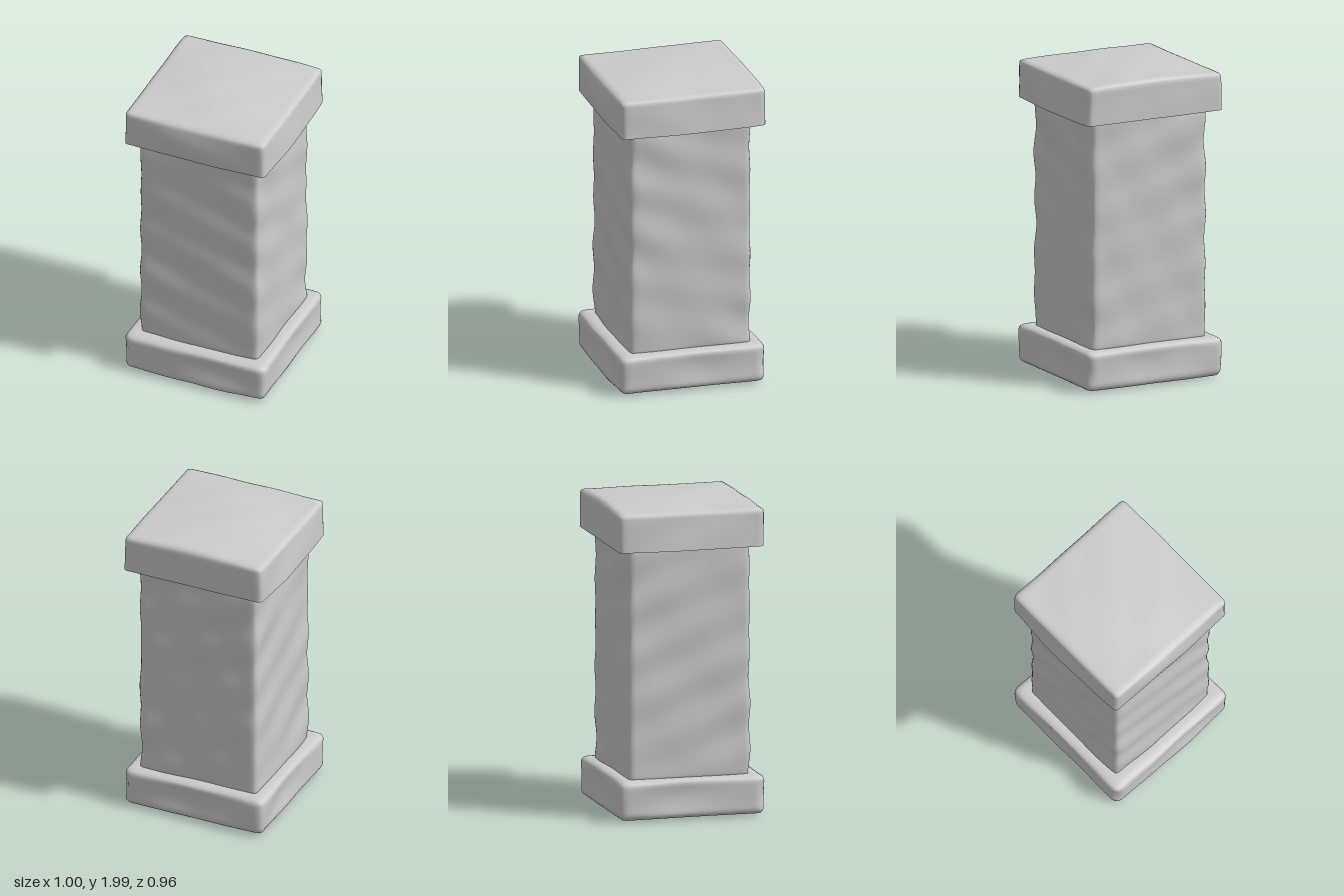
import * as THREE from 'three';
import { mergeVertices, toCreasedNormals } from 'three/addons/utils/BufferGeometryUtils.js';

const { sin, cos, min, max, abs, PI } = Math;

// Soft, repeatable unevenness of hand-cut stone, about -1..1
function rough(x, y, z) {
  return 0.4 * sin(9 * x + 13 * y + 2) * cos(11 * z - 5 * y + 1)
    + 0.35 * sin(21 * y + 6 * x - 7 * z) + 0.25 * sin(17 * x - 9 * y + 15 * z + 4);
}

// Block with rounded edges whose surface is moved by shape(point, outward direction)
function stoneBlock(name, size, centre, seg, radius, roundBottom, shape) {
  let geo = new THREE.BoxGeometry(...size, ...seg);
  geo.deleteAttribute('uv');
  geo.deleteAttribute('normal');
  geo = mergeVertices(geo);
  const pos = geo.attributes.position;
  const half = new THREE.Vector3(...size).multiplyScalar(0.5);
  const p = new THREE.Vector3(), inner = new THREE.Vector3(), dir = new THREE.Vector3();
  const low = half.clone().subScalar(radius).negate();
  const high = half.clone().subScalar(radius);
  if (!roundBottom) low.y = -half.y;
  for (let i = 0; i < pos.count; i++) {
    p.fromBufferAttribute(pos, i);
    inner.copy(p).clamp(low, high);
    dir.copy(p).sub(inner);
    if (dir.lengthSq() > 1e-12) {
      dir.normalize();
      p.copy(inner).addScaledVector(dir, radius);
    }
    shape(p, dir, half);
    pos.setXYZ(i, p.x, p.y, p.z);
  }
  geo.computeVertexNormals();
  if (!roundBottom) geo = toCreasedNormals(geo, 0.9);
  const mesh = new THREE.Mesh(geo, new THREE.MeshStandardMaterial({ color: 0xcccccc }));
  mesh.name = name;
  mesh.position.set(...centre);
  return mesh;
}

// 1 in the middle of a face, 0 at its ends
const hump = (v, half) => cos(min(1, abs(v) / half) * PI / 2);

export function createModel() {
  const pillar = new THREE.Group();
  pillar.name = 'stonePillar';

  // Square shaft with gently rippled faces and worn corners
  pillar.add(stoneBlock('shaft', [0.81, 1.52, 0.79], [0, 1, -0.014], [36, 64, 36], 0.035, true, (p, d) => {
    const corner = min(1, abs(p.x * p.z) / 0.15);
    const push = rough(p.x, p.y, p.z) * (0.007 + 0.004 * corner);
    p.x += d.x * push;
    p.z += d.z * push;
  }));

  // Base slab: pinched waist, lumpy underside
  pillar.add(stoneBlock('base', [0.95, 0.245, 0.935], [0, 0.148, -0.012], [40, 16, 40], 0.04, true, (p, d, h) => {
    const waist = 0.014 * hump(p.y, h.y) * hump(p.x * abs(d.z) + p.z * abs(d.x), 0.45);
    const push = 0.006 * rough(p.x, p.y, p.z) - waist + 0.006;
    p.x += d.x * push;
    p.z += d.z * push + max(0, d.z) * 0.01 * hump(p.x, h.x);
    if (d.y < 0) p.y += d.y * (0.008 + 0.007 * sin(9 * abs(p.x)) * hump(p.z - 0.2, 0.7));
  }));

  // Cap slab: flat sharp underside, domed top, sides swelling in the middle
  pillar.add(stoneBlock('cap', [0.94, 0.238, 0.935], [0, 1.849, -0.015], [40, 16, 40], 0.022, false, (p, d, h) => {
    const swellX = 0.018 * hump(p.z, h.z) * (0.6 - 0.4 * p.y / h.y);
    const swellZ = 0.02 * hump(p.x, h.x) * hump(p.y, h.y * 1.3);
    const bump = 0.004 * rough(p.x, p.y, p.z);
    p.x += d.x * (swellX + bump);
    p.z += d.z * (d.z > 0 ? swellZ + bump : 0.004 + bump);
    // Flare slightly towards the bottom edge
    p.x *= 1 + 0.008 * (1 - p.y / h.y);
    if (d.y > 0) p.y += d.y * (0.03 * hump(p.x, h.x) * hump(p.z + 0.08, 0.6) + bump);
  }));

  return pillar;
}
